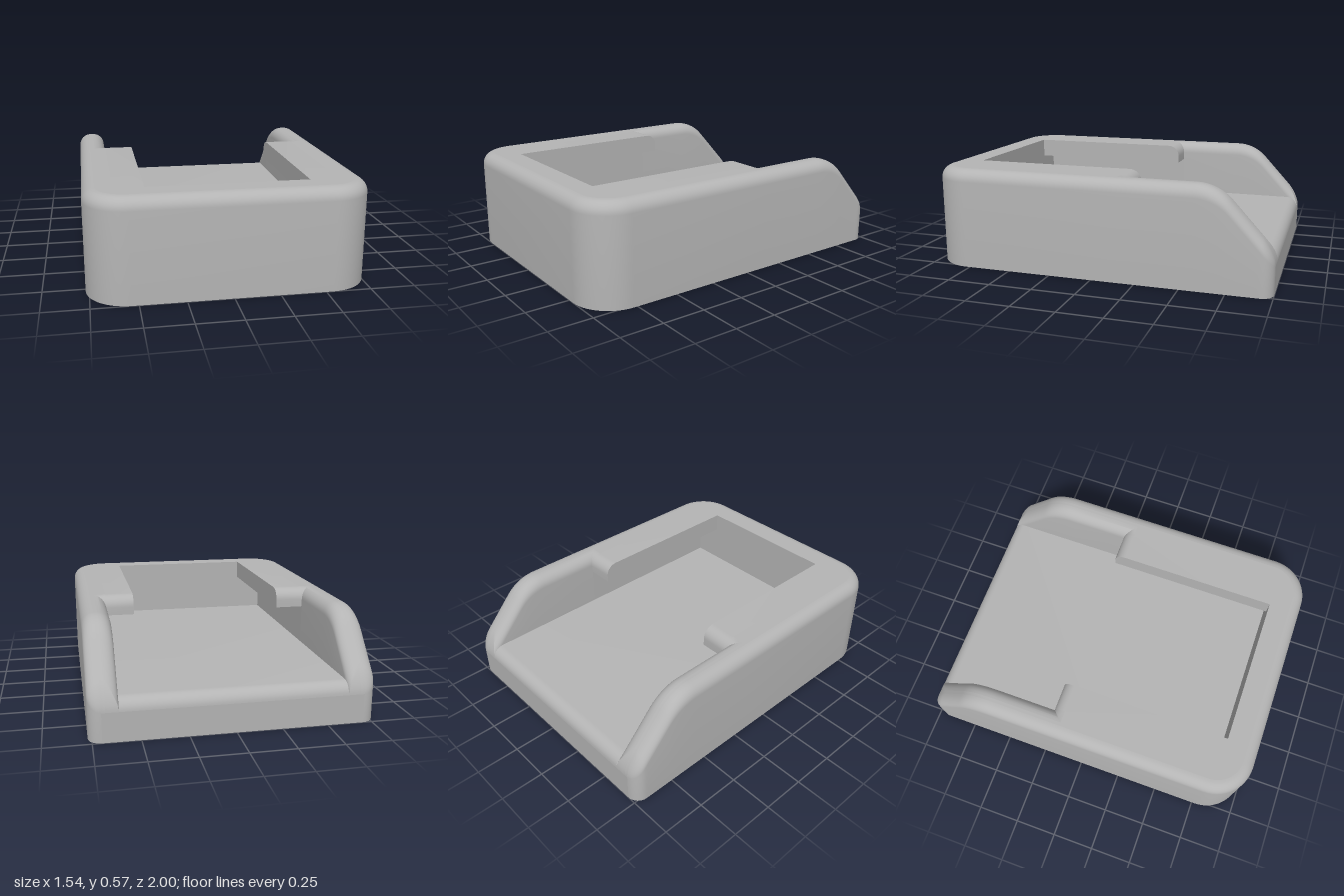
import * as THREE from 'three';
import { toCreasedNormals, mergeVertices } from 'three/addons/utils/BufferGeometryUtils.js';

const TOP = 0.575, R = 0.07;                 // rim height, edge rounding
const INNER = 0.61, LIP = 0.445;             // half widths of cavity and of top opening
const STEP = -0.2, FRONT = 0.81;             // z of lip ends and of inner front wall
const LIP_Y = 0.46, POCKET = 0.17;

// Rim height along z: level, then a bend into a straight slope to the back
function rim(z) {
  const bend = 0.26, a = 0.827, t = -0.57 - z;
  if (t <= 0) return TOP;
  const end = bend * Math.sin(a);
  if (t < end) return TOP - bend + Math.sqrt(bend * bend - t * t);
  return TOP - bend * (1 - Math.cos(a)) - (t - end) * Math.tan(a);
}
const FLOOR = rim(-1);

// Drop of a rounded edge at distance d from the side
const drop = d => (d >= R ? 0 : R - Math.sqrt(Math.max(0, R * R - (R - d) ** 2)));
const range = (a, b, n) => Array.from({ length: n + 1 }, (_, i) => a + (b - a) * i / n);
const insets = range(0, Math.PI / 2, 8).map(t => R * (1 - Math.cos(t)));
const slopeZ = [...insets.map(d => d - 1), ...range(-0.93, -0.55, 24).slice(1)];

// Surface through rows of points
function loft(rows) {
  const n = rows[0].length, index = [];
  for (let i = 0; i < rows.length - 1; i++) {
    for (let j = 0; j < n - 1; j++) {
      const a = i * n + j, b = a + 1, c = a + n, d = c + 1;
      index.push(a, c, b, b, c, d);
    }
  }
  const g = new THREE.BufferGeometry();
  g.setAttribute('position', new THREE.Float32BufferAttribute(rows.flat(2), 3));
  g.setIndex(index);
  return toCreasedNormals(mergeVertices(g), 0.5);
}

// Horizontal face from [x, z] points
function flat(points, y, up, hole) {
  const s = up ? -1 : 1;
  const vec = list => list.map(([x, z]) => new THREE.Vector2(x, s * z));
  const shape = new THREE.Shape(vec(points));
  if (hole) shape.holes.push(new THREE.Path(vec(hole)));
  return new THREE.ShapeGeometry(shape).rotateX(s * Math.PI / 2).translate(0, y, 0);
}

// Footprint from the back corner round the front to the other back corner
function outline(d) {
  const half = [];
  for (const t of range(-Math.PI / 2, 0, 8)) {
    half.push([0.70 + (R - d) * Math.cos(t), -0.93 + (R - d) * Math.sin(t)]);
  }
  for (const z of range(-0.93, -0.55, 24).slice(1)) half.push([0.77 - d, z]);
  half.push([0.77 - d, -0.13]);
  for (const t of range(0, Math.PI / 2, 14)) {
    half.push([0.54 + (0.23 - d) * Math.cos(t), 0.77 + (0.23 - d) * Math.sin(t)]);
  }
  return [...half, ...half.map(([x, z]) => [-x, z]).reverse()];
}

// Keyhole: round hole with a narrow slot toward the back
function keyhole() {
  const r = 0.135, w = 0.045, b = Math.asin(w / r), q = Math.PI / 2;
  return [
    ...range(0, Math.PI, 12).map(t => [w * Math.cos(t), -0.655 - w * Math.sin(t)]),
    ...range(q + b, q - b + 2 * Math.PI, 32).map(t => [r * Math.cos(t), -0.37 - r * Math.sin(t)]),
  ];
}

export function createModel() {
  const model = new THREE.Group();
  model.name = 'cradle';
  const grey = new THREE.MeshStandardMaterial({ color: 0xb4b4b4, side: THREE.DoubleSide });
  grey.name = 'grey';
  const add = (parent, name, geometry) => {
    const mesh = new THREE.Mesh(geometry, grey);
    mesh.name = name;
    parent.add(mesh);
  };

  // Outer walls with rounded top edge
  add(model, 'outerWall', loft([
    outline(0).map(([x, z]) => [x, 0, z]),
    ...insets.map(d => outline(d).map(([x, z]) => [x, rim(z) - drop(d), z])),
  ]));
  add(model, 'backFace', loft([0, FLOOR - R].map(y => [[-0.70, y, -1], [0.70, y, -1]])));

  // Flat top around the front
  const edge = outline(R).filter(([, z]) => z >= -0.131);
  add(model, 'topFrame', flat(
    [...edge, [-INNER, -0.13], [-INNER, FRONT], [INNER, FRONT], [INNER, -0.13]], TOP, true));

  // Cavity floor with rounded back edge, and inner front wall
  add(model, 'floor', loft([
    ...insets.map(d => [-INNER, INNER].map(x => [x, FLOOR - drop(d), d - 1])),
    [-INNER, INNER].map(x => [x, FLOOR, FRONT]),
  ]));
  add(model, 'innerFrontWall', loft([FLOOR, TOP].map(y => [[-INNER, y, FRONT], [INNER, y, FRONT]])));

  // Underside with blind keyhole pocket
  const key = keyhole();
  add(model, 'underside', flat(outline(0), 0, false, key));
  add(model, 'keyholeWall', loft([0, POCKET].map(y => [...key, key[0]].map(([x, z]) => [x, y, z]))));
  add(model, 'keyholeCeiling', flat(key, POCKET, false));

  // Parts repeated on both sides
  for (const side of [1, -1]) {
    const group = new THREE.Group();
    group.name = side > 0 ? 'leftSide' : 'rightSide';
    group.scale.x = side;
    model.add(group);

    // Inner wall, its rounded edge and the mitre into the lip end
    const back = [...slopeZ].reverse();
    add(group, 'innerWall', loft([
      [[INNER, LIP_Y, STEP], [INNER, 0.15, STEP], ...back.map(z => [INNER, 0.15, z])],
      ...insets.map(d => [
        [INNER, TOP - drop(d), STEP + d],
        [INNER + d, TOP - drop(d), STEP + d],
        ...back.map(z => [INNER + d, rim(z) - Math.max(drop(d), drop(z + 1)), z]),
      ]),
    ]));
    add(group, 'wallTop', loft([0.70, INNER + R].map(x =>
      [...slopeZ, STEP + R].map(z => [x, rim(z) - drop(z + 1), z]))));
    add(group, 'slotWall', loft([FLOOR, LIP_Y].map(y => [[INNER, y, FRONT], [INNER, y, STEP]])));

    // Overhanging lip with rounded end, profile in z and y
    const profile = new THREE.Shape([
      [FRONT, LIP_Y], [FRONT, TOP],
      ...insets.map(d => [STEP + d, TOP - drop(d)]).reverse(), [STEP, LIP_Y],
    ].map(([z, y]) => new THREE.Vector2(-z, y)));
    const lip = new THREE.ExtrudeGeometry(profile, { depth: INNER - LIP, bevelEnabled: false });
    lip.rotateY(Math.PI / 2).translate(LIP, 0, 0);
    add(group, 'lip', toCreasedNormals(lip, 0.5));
  }
  return model;
}
